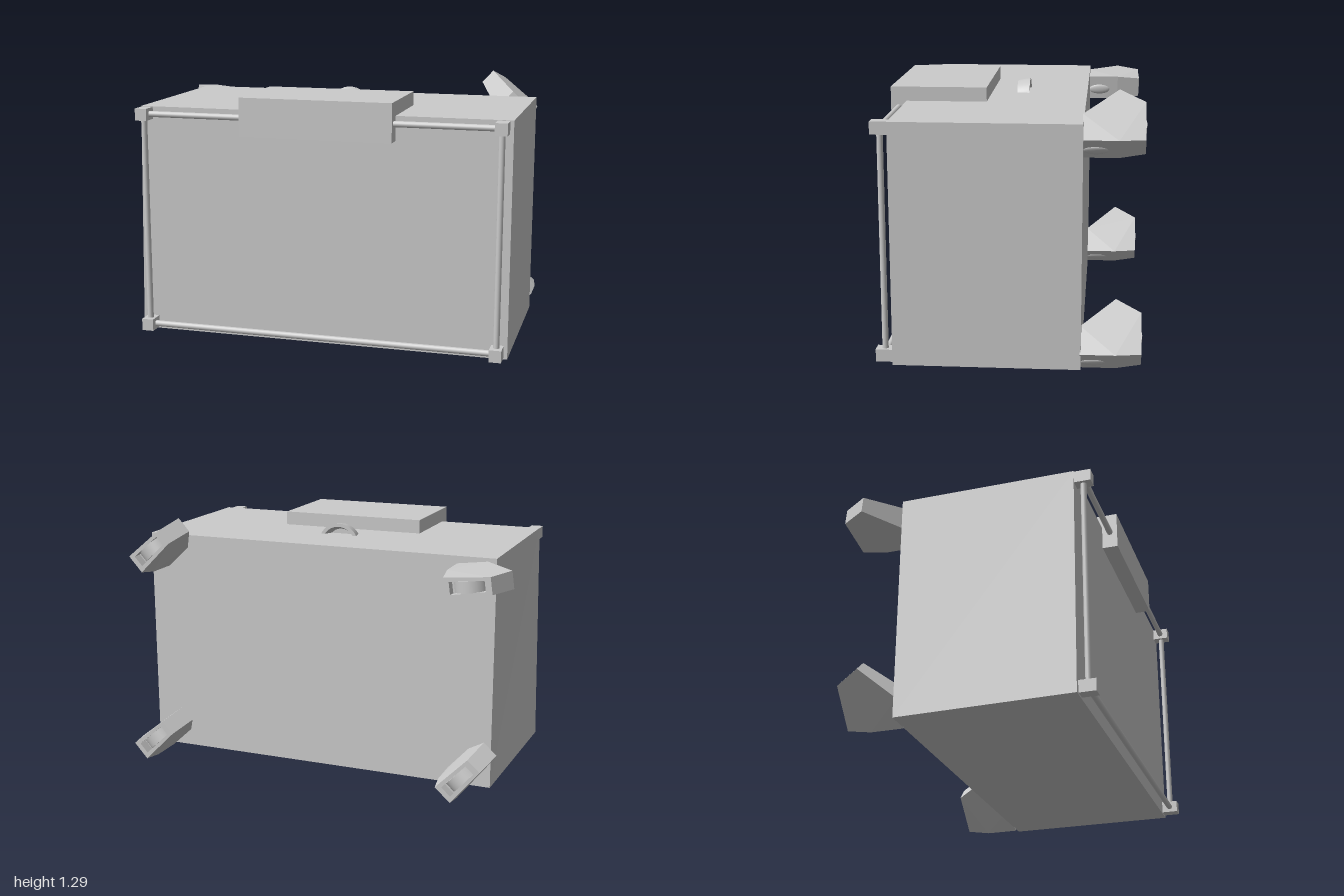
import * as THREE from 'three';
import { toCreasedNormals } from 'three/addons/utils/BufferGeometryUtils.js';

const material = new THREE.MeshStandardMaterial({ color: 0xcccccc });
const flat = new THREE.MeshStandardMaterial({ color: 0xcccccc, flatShading: true });

function addMesh(parent, name, geometry, x = 0, y = 0, z = 0, mat = material) {
  const mesh = new THREE.Mesh(geometry, mat);
  mesh.name = name;
  mesh.position.set(x, y, z);
  parent.add(mesh);
  return mesh;
}

// Box given by its minimum and maximum corners
function addBox(parent, name, [x0, y0, z0], [x1, y1, z1]) {
  return addMesh(parent, name, new THREE.BoxGeometry(x1 - x0, y1 - y0, z1 - z0),
    (x0 + x1) / 2, (y0 + y1) / 2, (z0 + z1) / 2, flat);
}

function addRod(parent, name, from, to) {
  const a = new THREE.Vector3(...from), b = new THREE.Vector3(...to);
  const dir = b.clone().sub(a);
  const rod = addMesh(parent, name,
    new THREE.CylinderGeometry(0.015, 0.015, dir.length(), 16));
  rod.position.copy(a).add(b).multiplyScalar(0.5);
  rod.quaternion.setFromUnitVectors(new THREE.Vector3(0, 1, 0), dir.normalize());
}

// One layer of a foot housing: an outline (length, distance back) given a
// thickness between w0 and w1, thinner at the tip and at the rear end
function housingLayer(points, w0, w1) {
  const shape = new THREE.Shape(points.map(([u, d]) => new THREE.Vector2(u, d)));
  const geo = new THREE.ExtrudeGeometry(shape, { depth: w1 - w0, bevelEnabled: false });
  geo.translate(0, 0, w0);
  geo.rotateX(-Math.PI / 2);
  const p = geo.attributes.position;
  for (let i = 0; i < p.count; i++) {
    const tip = 0.043 + 0.022 * Math.min(1, p.getX(i) / 0.17);
    const rear = 1 - 0.2 * Math.max(0, (-p.getZ(i) - 0.5) / 0.12);
    p.setY(i, p.getY(i) * tip * rear);
  }
  geo.computeVertexNormals();
  return geo;
}

// Wheeled foot: faceted housing with a slot at the rear end and a wheel in it
function addFoot(parent, name, x, y, degrees) {
  const foot = new THREE.Group();
  foot.name = name;
  foot.position.set(x, y, 0);
  foot.rotation.z = THREE.MathUtils.degToRad(degrees);
  parent.add(foot);

  const front = [[0.16, 0.335], [0.31, 0.335], [0.31, 0.5], [0.295, 0.62]];
  const back = [[0.07, 0.62], [0, 0.5]];
  const slot = [[0.27, 0.62], [0.27, 0.57], [0.1, 0.57], [0.1, 0.62]];
  addMesh(foot, 'housingLowerCheek', housingLayer([...front, ...back], -1, -0.6), 0, 0, 0, flat);
  addMesh(foot, 'housingCore', housingLayer([...front, ...slot, ...back], -0.6, 0.6), 0, 0, 0, flat);
  addMesh(foot, 'housingUpperCheek', housingLayer([...front, ...back], 0.6, 1), 0, 0, 0, flat);
  addMesh(foot, 'wheel',
    toCreasedNormals(new THREE.CylinderGeometry(0.08, 0.08, 0.055, 32), 0.6), 0.185, 0, -0.545);
  // Rounded bump on the end next to the body
  const bump = addMesh(foot, 'axleCap', new THREE.SphereGeometry(1, 20, 12), 0.307, -0.01, -0.395);
  bump.scale.set(0.012, 0.028, 0.06);
}

export function createModel() {
  const model = new THREE.Group();
  model.name = 'case';

  // Main body, with the lower front corner on the right drawn slightly outwards
  const body = addBox(model, 'body', [-0.867, 0.012, -0.34], [1, 1.17, 0.54]);
  const p = body.geometry.attributes.position;
  for (let i = 0; i < p.count; i++) {
    if (p.getX(i) < 0 && p.getY(i) < 0 && p.getZ(i) > 0) p.setX(i, p.getX(i) - 0.023);
  }
  body.geometry.computeVertexNormals();

  // Front frame: four corner blocks joined by rods
  const frame = new THREE.Group();
  frame.name = 'frontFrame';
  model.add(frame);
  const xs = [-0.835, 0.952], ys = [0.05, 1.137], z = 0.58;
  for (const x of xs) {
    for (const y of ys) {
      addBox(frame, 'cornerBlock', [x - 0.03, y - 0.03, 0.53], [x + 0.03, y + 0.03, 0.622]);
    }
    addRod(frame, 'uprightRod', [x, ys[0], z], [x, ys[1], z]);
  }
  for (const y of ys) addRod(frame, 'crossRod', [xs[0], y, z], [xs[1], y, z]);

  // Latch block lapping over the top front edge
  addBox(model, 'latch', [-0.32, 1.05, 0.145], [0.44, 1.24, 0.618]);

  // Finger grip: a shallow cup open to the back, half sunk in the top
  const cup = [[0, 0], [0.075, 0], [0.092, -0.045], [0.11, -0.045], [0.107, -0.02], [0.1, 0.018], [0, 0.02]];
  const grip = new THREE.LatheGeometry(cup.map(([r, h]) => new THREE.Vector2(r, h)), 40);
  grip.rotateX(Math.PI / 2);
  addMesh(model, 'fingerGrip', toCreasedNormals(grip, 0.5), 0.06, 1.12, 0);

  // Feet at the back corners: tip position and tilt
  addFoot(model, 'upperLeftFoot', 0.715, 1.255, -42);
  addFoot(model, 'lowerLeftFoot', 0.735, 0.25, -42);
  addFoot(model, 'upperRightFoot', -0.988, 1.112, -8);
  addFoot(model, 'lowerRightFoot', -0.905, 0.278, -48);

  return model;
}
